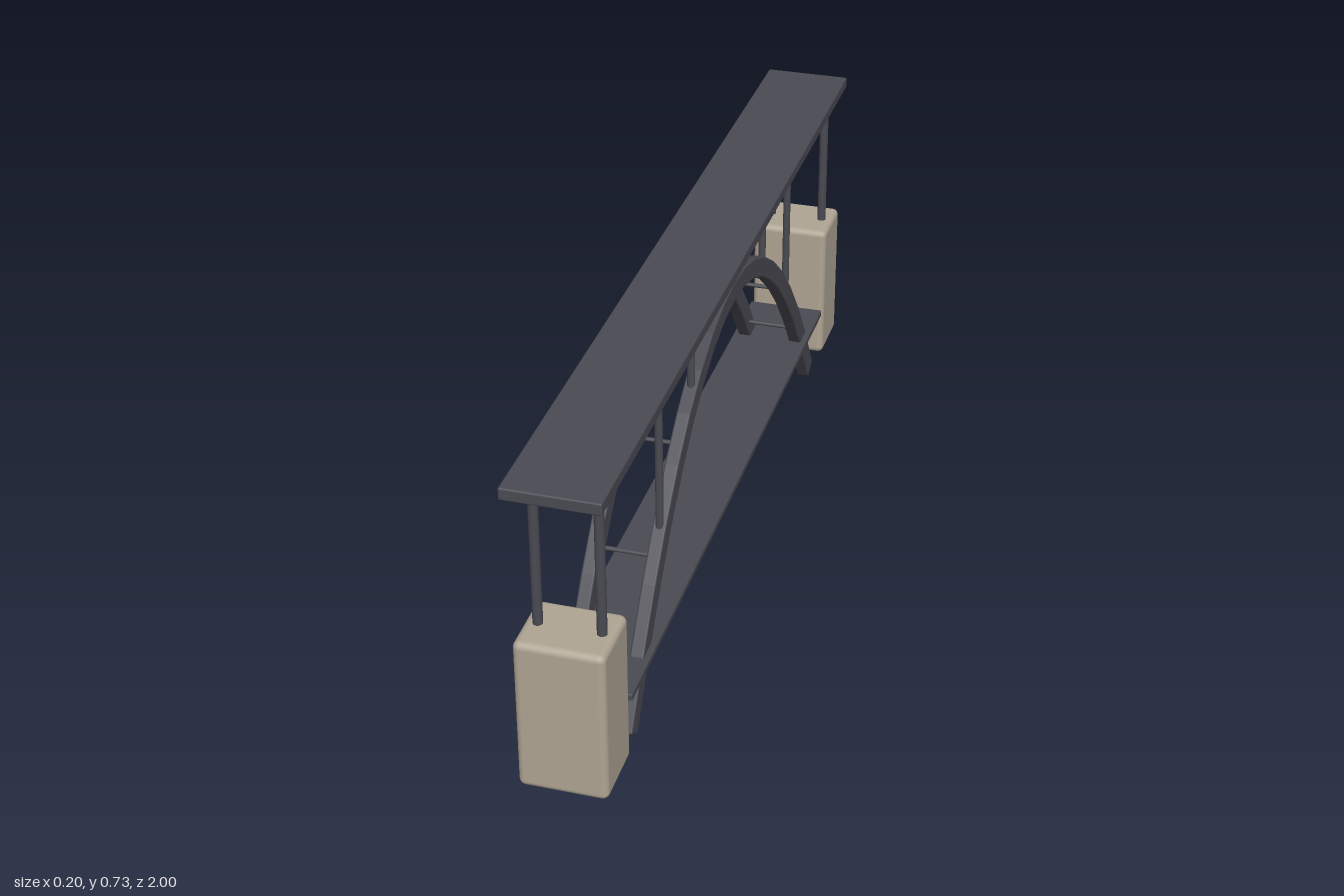
import * as THREE from 'three';
import { RoundedBoxGeometry } from 'three/addons/geometries/RoundedBoxGeometry.js';

export function createModel() {
  const bridge = new THREE.Group();
  bridge.name = 'archBridge';

  const steel = new THREE.MeshStandardMaterial({ color: 0x4a4a53 });
  steel.name = 'dark steel';
  const stone = new THREE.MeshStandardMaterial({ color: 0xb0a594 });
  stone.name = 'pale stone';

  const add = (name, geometry, material, x, y, z, parent = bridge) => {
    const mesh = new THREE.Mesh(geometry, material);
    mesh.name = name;
    mesh.position.set(x, y, z);
    parent.add(mesh);
    return mesh;
  };
  const block = (w, h, d, r) => new RoundedBoxGeometry(w, h, d, 3, r);

  // Road deck and lower walkway
  const deckBottom = 0.7;
  add('roadDeck', block(0.2, 0.027, 2, 0.004), steel, 0, deckBottom + 0.0135, 0);
  add('lowerDeck', block(0.186, 0.016, 1.64, 0.003), steel, 0, 0.148, 0);

  // Parabolic arch
  const ribX = 0.065, halfSpan = 0.765, crown = 0.637, rise = 0.622, segments = 18;
  const archY = (z) => crown - rise * (z / halfSpan) ** 2;
  const jointZ = (i) => halfSpan * (1 - (2 * i) / segments);

  // Twin ribs made of straight segments, with a strut on every second one
  for (const side of [1, -1]) {
    const rib = new THREE.Group();
    rib.name = side > 0 ? 'leftArchRib' : 'rightArchRib';
    bridge.add(rib);
    for (let i = 0; i < segments; i++) {
      const z0 = jointZ(i), z1 = jointZ(i + 1);
      const dy = archY(z1) - archY(z0), dz = z1 - z0;
      const segment = add('archSegment', block(0.03, 0.047, Math.hypot(dy, dz) + 0.008, 0.004), steel,
        side * ribX, (archY(z0) + archY(z1)) / 2, (z0 + z1) / 2, rib);
      segment.rotation.x = Math.atan2(-dy, dz);
    }
  }
  for (let i = 0; i < segments; i += 2) {
    const z0 = jointZ(i), z1 = jointZ(i + 1);
    const strut = add('crossStrut', new THREE.CylinderGeometry(0.005, 0.005, 0.11, 10), steel,
      0, (archY(z0) + archY(z1)) / 2 - 0.004, (z0 + z1) / 2);
    strut.rotation.z = Math.PI / 2;
  }

  // Round columns from a given height up to the deck
  const column = (name, radius, x, bottom, z) => {
    const h = deckBottom + 0.005 - bottom;
    add(name, new THREE.CylinderGeometry(radius, radius, h, 12), steel, x, bottom + h / 2, z);
  };

  // Stone piers, pier columns and columns standing on the arch
  for (const end of [1, -1]) {
    add('stonePier', block(0.187, 0.351, 0.153, 0.015), stone, 0, 0.1935, end * 0.913);
    for (const side of [1, -1]) {
      column('pierColumn', 0.0105, side * ribX, 0.36, end * 0.913);
      for (const z of [0.53, 0.295]) {
        column('archColumn', 0.0085, side * ribX, archY(z), end * z);
      }
    }
  }

  return bridge;
}
